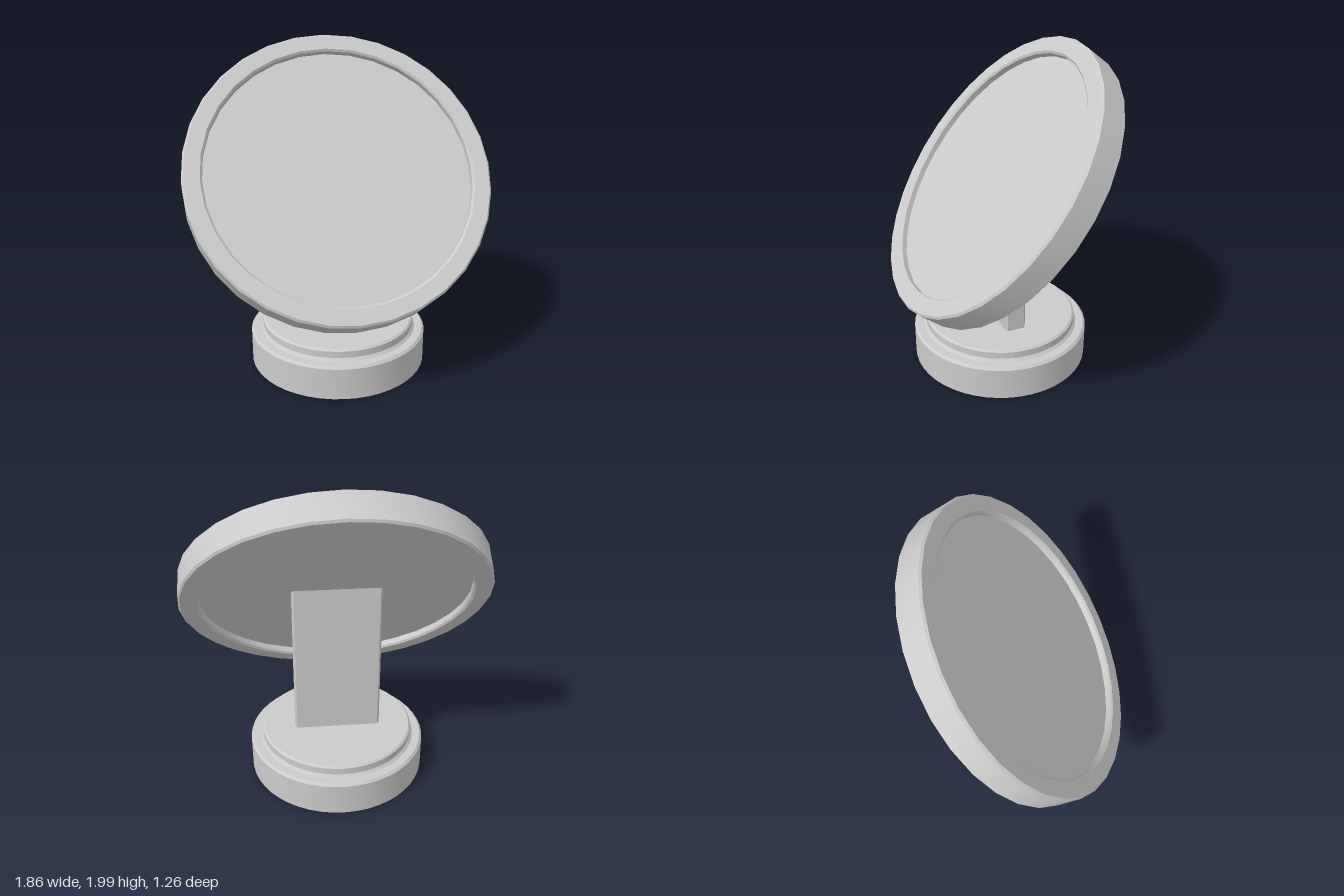
import * as THREE from 'three';
import { toCreasedNormals } from 'three/addons/utils/BufferGeometryUtils.js';

const TILT = 0.915; // angle between the disc axis and vertical
const CENTRE = { y: 1.21, z: 0.004 };
const AXIS_Z = -0.03; // base and post sit slightly behind the origin

const material = new THREE.MeshStandardMaterial({ color: 0xcccccc, side: THREE.DoubleSide });

function addMesh(parent, name, geometry) {
  const mesh = new THREE.Mesh(toCreasedNormals(geometry, 0.5), material);
  mesh.name = name;
  parent.add(mesh);
  return mesh;
}

function lathe(points, sides) {
  return new THREE.LatheGeometry(points.map(([r, y]) => new THREE.Vector2(r, y)), sides);
}

// Rectangle with chamfered corners
function chamferedRect(Path, w, d, c) {
  const x = w / 2, y = d / 2;
  return new Path([
    [x - c, -y], [x, -y + c], [x, y - c], [x - c, y],
    [-x + c, y], [-x, y - c], [-x, -y + c], [-x + c, -y],
  ].map(([a, b]) => new THREE.Vector2(a, b)));
}

// Hollow post whose top is cut along the tilted disc
function postGeometry(bottom) {
  const shape = chamferedRect(THREE.Shape, 0.54, 0.13, 0.012);
  shape.holes.push(chamferedRect(THREE.Path, 0.49, 0.08, 0.002));
  const geometry = new THREE.ExtrudeGeometry(shape, { depth: 1, bevelEnabled: false });
  geometry.rotateX(-Math.PI / 2);
  geometry.translate(0, 0, AXIS_Z);
  const p = geometry.attributes.position;
  for (let i = 0; i < p.count; i++) {
    const top = CENTRE.y - (p.getZ(i) - CENTRE.z) * Math.tan(TILT);
    p.setY(i, p.getY(i) > 0.5 ? top : bottom);
  }
  return geometry;
}

export function createModel() {
  const model = new THREE.Group();
  model.name = 'tiltedDiscStand';

  // Stepped base shell, open underneath
  const base = addMesh(model, 'base', lathe([
    [0.557, 0], [0.557, 0.2], [0.543, 0.215], [0.495, 0.215], [0.48, 0.232],
    [0.48, 0.274], [0.468, 0.285], [0, 0.285],
  ], 48));
  base.position.z = AXIS_Z;

  addMesh(model, 'post', postGeometry(0.21));

  // Tilted disc: raised rim around a panel recessed on both faces
  const disc = new THREE.Group();
  disc.name = 'disc';
  disc.position.set(0, CENTRE.y, CENTRE.z);
  disc.rotation.x = TILT;
  model.add(disc);

  const half = 0.093, b = 0.012;
  addMesh(disc, 'rim', lathe([
    [0.81, half - b], [0.81, -half + b], [0.81 + b, -half], [0.928 - b, -half],
    [0.928, -half + b], [0.928, half - b], [0.928 - b, half], [0.81 + b, half],
    [0.81, half - b],
  ], 32));
  addMesh(disc, 'panel', new THREE.CylinderGeometry(0.82, 0.82, 0.092, 32));

  return model;
}
